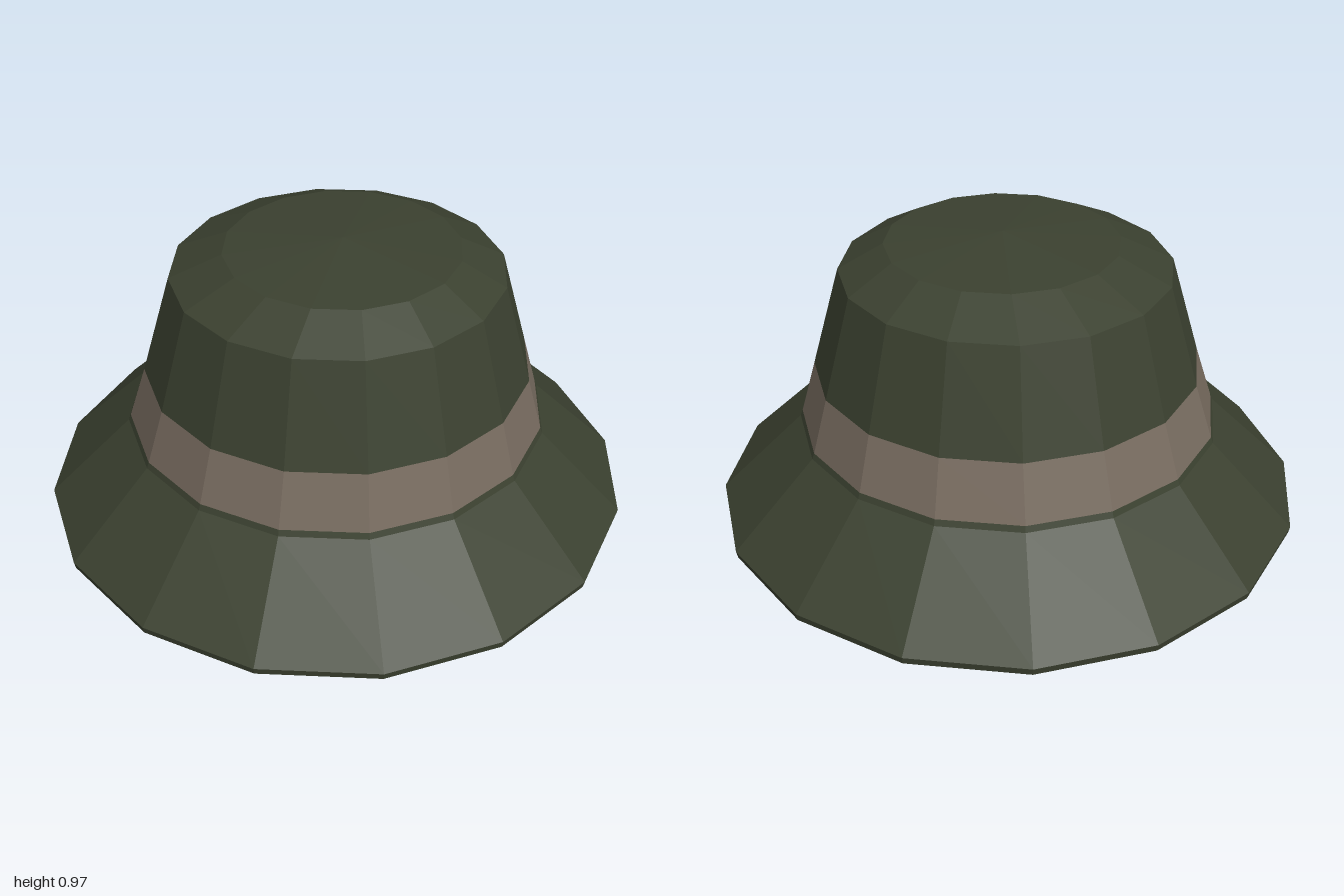
import * as THREE from 'three';

const SIDES = 16;

// Each ring is [radius, height, sideways shift]; the shift gives the soft cloth crown its slight lean.
function ringSurface(name, rings, material) {
  const geometry = new THREE.LatheGeometry(rings.map(([r, y]) => new THREE.Vector2(r, y)), SIDES);
  const position = geometry.attributes.position;
  for (let i = 0; i < position.count; i++) {
    position.setX(i, position.getX(i) + (rings[i % rings.length][2] || 0));
  }
  geometry.computeVertexNormals();
  const mesh = new THREE.Mesh(geometry, material);
  mesh.name = name;
  return mesh;
}

export function createModel() {
  const green = new THREE.MeshStandardMaterial({ color: 0x3b4130, flatShading: true });
  green.name = 'dark olive cloth';
  const taupe = new THREE.MeshStandardMaterial({ color: 0x786c60, flatShading: true });
  taupe.name = 'taupe ribbon';

  const hat = new THREE.Group();
  hat.name = 'bucketHat';

  // Sloping brim with a thin rolled hem
  hat.add(ringSurface('brim', [
    [0.975, 0], [0.995, 0.005], [1, 0.03], [0.715, 0.31], [0.707, 0.33],
  ], green));

  // Ribbon around the base of the crown
  hat.add(ringSurface('band', [[0.707, 0.33], [0.65, 0.515, 0.005]], taupe));

  // Crown wall, rounded shoulder and shallow top
  hat.add(ringSurface('crown', [
    [0.65, 0.515, 0.005], [0.55, 0.858, 0.008], [0.388, 0.938, 0.025], [0, 0.97, 0.025],
  ], green));

  // Inside of the hat, from the top down to the hem
  hat.add(ringSurface('lining', [
    [0, 0.945, 0.025], [0.375, 0.913, 0.025], [0.528, 0.842, 0.008], [0.69, 0.3], [0.975, 0],
  ], green));

  return hat;
}
